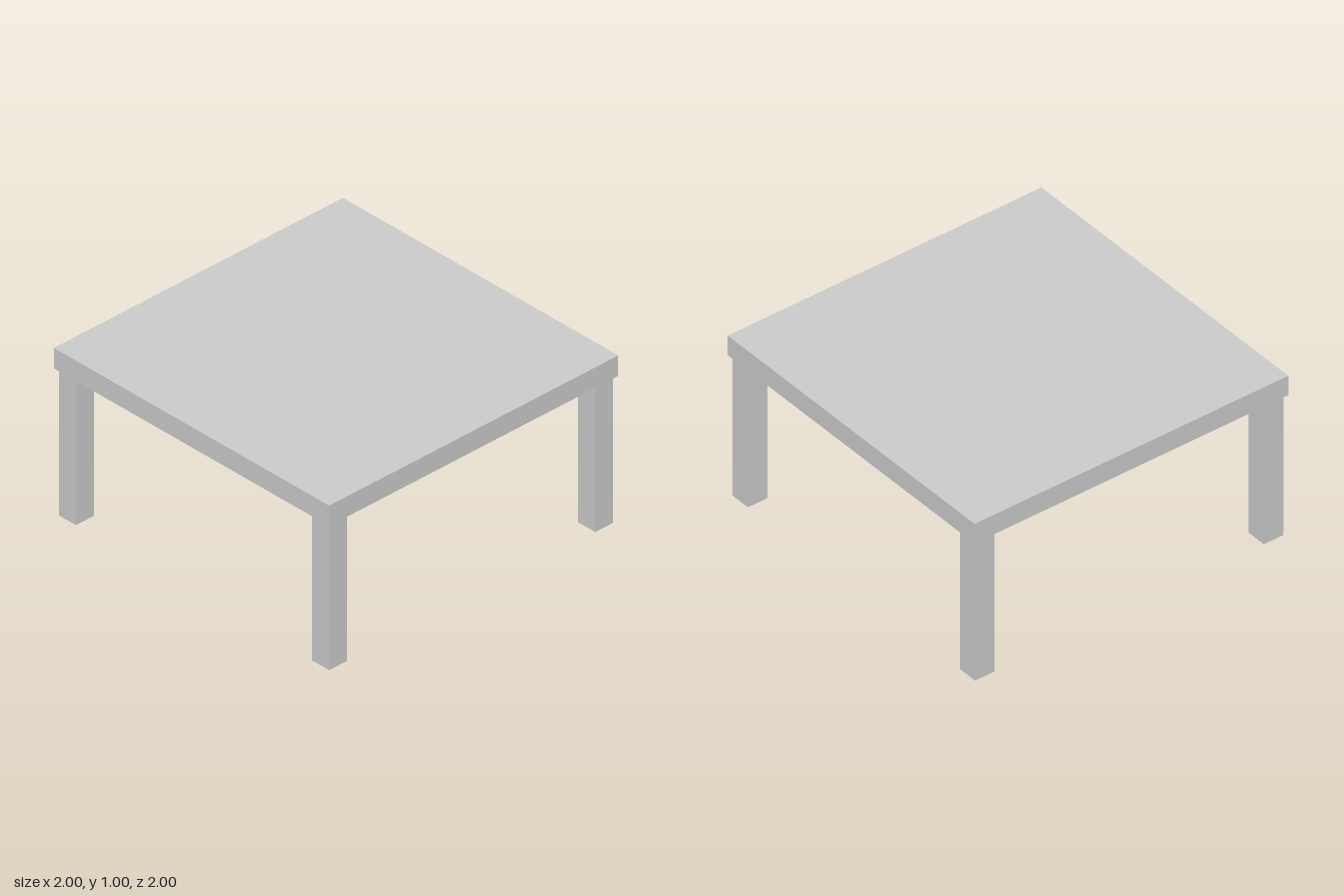
import * as THREE from 'three';

const HEIGHT = 1.0;
const TOP = 0.122; // slab thickness
const LEG = 0.124; // leg width
const LEG_POS = 0.92; // leg centre from the middle

export function createModel() {
  const table = new THREE.Group();
  table.name = 'table';
  const material = new THREE.MeshStandardMaterial({ color: 0xcccccc });

  // Square slab
  const top = new THREE.Mesh(new THREE.BoxGeometry(2, TOP, 2), material);
  top.name = 'tableTop';
  top.position.y = HEIGHT - TOP / 2;
  table.add(top);

  // Four square legs, slightly inset from the corners
  const legHeight = HEIGHT - TOP;
  const legGeometry = new THREE.BoxGeometry(LEG, legHeight, LEG);
  for (const [zName, z] of [['front', 1], ['back', -1]]) {
    for (const [xName, x] of [['Left', 1], ['Right', -1]]) {
      const leg = new THREE.Mesh(legGeometry, material);
      leg.name = `${zName}${xName}Leg`;
      leg.position.set(x * LEG_POS, legHeight / 2, z * LEG_POS);
      table.add(leg);
    }
  }
  return table;
}
